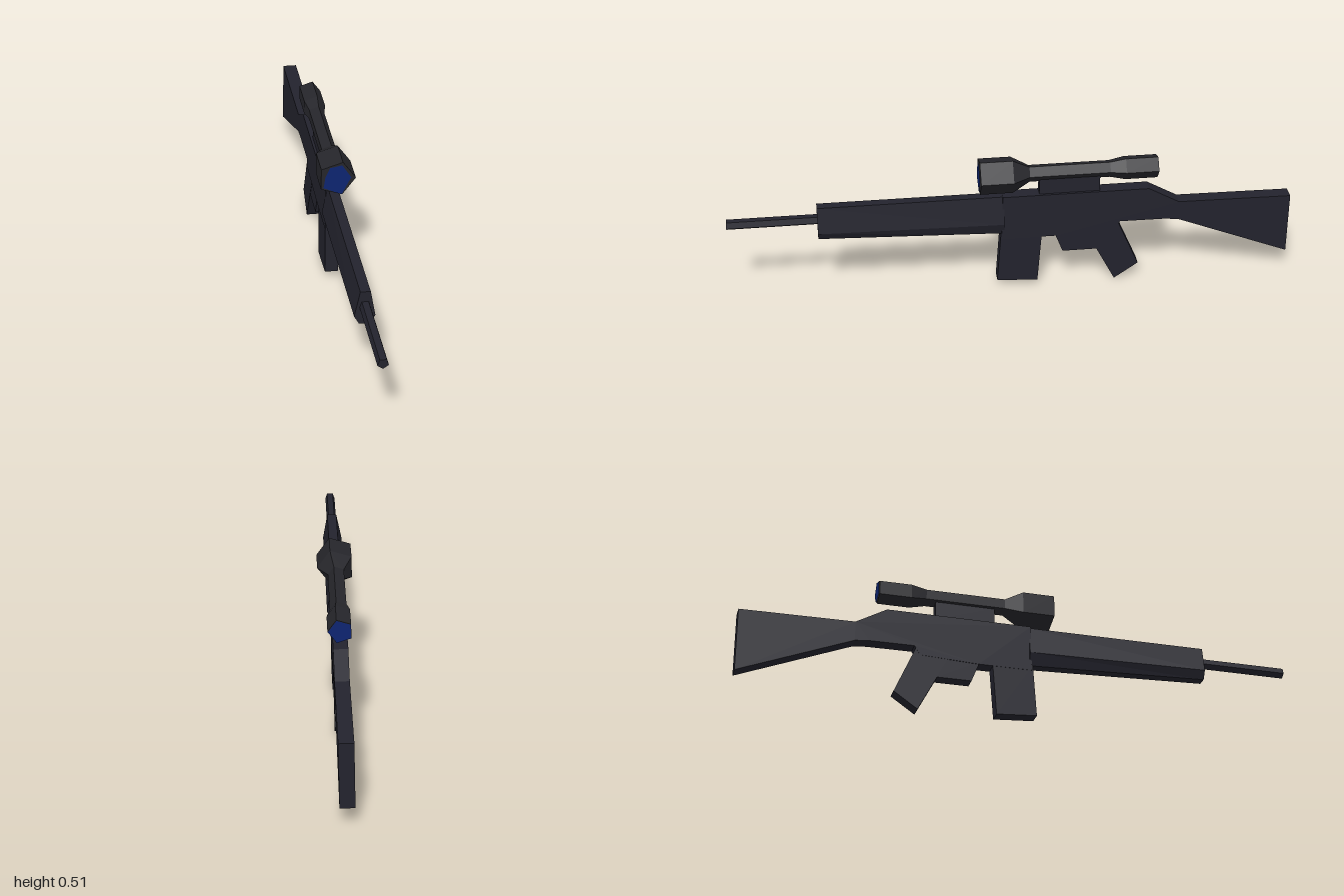
import * as THREE from 'three';

export function createModel() {
  const model = new THREE.Group();
  model.name = 'scopedRifle';

  const material = (name, color) => {
    const m = new THREE.MeshStandardMaterial({ color, flatShading: true });
    m.name = name;
    return m;
  };
  const gunmetal = material('gunmetal', 0x23232d);
  const scopeGrey = material('scopeGrey', 0x26262b);
  const lensBlue = material('lensBlue', 0x0d2470);

  const add = (name, geometry, mat, x = 0, y = 0, z = 0) => {
    const mesh = new THREE.Mesh(geometry, mat);
    mesh.name = name;
    mesh.position.set(x, y, z);
    model.add(mesh);
    return mesh;
  };

  // Flat side profile given as [z, y], extruded across x
  const plate = (points, width) => {
    const shape = new THREE.Shape(points.map(([z, y]) => new THREE.Vector2(z, y)));
    return new THREE.ExtrudeGeometry(shape, { depth: width, bevelEnabled: false })
      .translate(0, 0, -width / 2)
      .rotateY(-Math.PI / 2);
  };

  // Closed solid between two counter-clockwise outlines, back to front
  const loft = (back, front, zBack, zFront) => {
    const n = back.length;
    const pos = [];
    const b = (i) => [...back[i % n], zBack];
    const f = (i) => [...front[i % n], zFront];
    for (let i = 0; i < n; i++) {
      pos.push(...b(i), ...b(i + 1), ...f(i + 1), ...b(i), ...f(i + 1), ...f(i));
      if (i > 0 && i < n - 1) {
        pos.push(...f(0), ...f(i), ...f(i + 1), ...b(0), ...b(i + 1), ...b(i));
      }
    }
    const g = new THREE.BufferGeometry();
    g.setAttribute('position', new THREE.Float32BufferAttribute(pos, 3));
    g.computeVertexNormals();
    return g;
  };

  // Receiver and stock
  add('receiverAndStock', plate([
    [0.035, 0.376], [-0.485, 0.376], [-0.595, 0.314], [-1, 0.31], [-1, 0.08],
    [-0.595, 0.242], [-0.545, 0.247], [-0.385, 0.248], [-0.365, 0.215],
    [-0.155, 0.205], [0.04, 0.205],
  ], 0.05), gunmetal);

  // Parts below the receiver
  add('magazine', plate([[0.042, 0.225], [-0.105, 0.225], [-0.09, 0.022], [0.055, 0.032]], 0.048), gunmetal);
  add('triggerGuard', plate([[-0.15, 0.215], [-0.35, 0.215], [-0.305, 0.138], [-0.18, 0.138]], 0.046), gunmetal);
  add('pistolGrip', plate([[-0.25, 0.24], [-0.38, 0.24], [-0.455, 0.067], [-0.37, 0.008]], 0.048), gunmetal);

  // Six-sided handguard, shallower towards the muzzle
  const section = (bottom, middle) => [
    [0.017, 0.374], [-0.017, 0.374], [-0.035, middle],
    [-0.018, bottom], [0.018, bottom], [0.035, middle],
  ];
  add('handguard', loft(section(0.225, 0.27), section(0.25, 0.28), 0.03, 0.685), gunmetal);

  // Barrel
  const barrel = new THREE.CylinderGeometry(0.019, 0.019, 0.34, 5).rotateX(Math.PI / 2);
  add('barrel', barrel, gunmetal, 0, 0.32, 0.83);

  // Scope mount
  add('scopeMount', new THREE.BoxGeometry(0.032, 0.07, 0.215), gunmetal, 0, 0.4, -0.2025);

  // Five-sided scope turned around its long axis
  const scopeY = 0.455;
  const scopeProfile = [
    [0, -0.515], [0.043, -0.515], [0.043, -0.4], [0.031, -0.345],
    [0.031, -0.06], [0.067, 0], [0.067, 0.115], [0, 0.115],
  ].map(([r, z]) => new THREE.Vector2(r, z));
  const scope = new THREE.LatheGeometry(scopeProfile, 5, Math.PI / 2).rotateX(Math.PI / 2);
  add('scope', scope, scopeGrey, 0, scopeY, 0);

  // Lenses
  const frontLens = new THREE.Shape([
    [-0.024, 0.046], [0.018, 0.054], [0.05, 0.004],
    [0.018, -0.062], [-0.046, -0.033], [-0.04, 0.01],
  ].map(([x, y]) => new THREE.Vector2(x, y)));
  add('frontLens', new THREE.ShapeGeometry(frontLens), lensBlue, 0, scopeY, 0.118);
  const rearLens = new THREE.CircleGeometry(0.042, 5, Math.PI).rotateY(Math.PI);
  add('rearLens', rearLens, lensBlue, 0, scopeY, -0.518);

  // The whole rifle sits slightly turned and leaning
  model.rotation.set(0, 0.026, -0.02);
  model.position.set(-0.015, 0, 0);
  return model;
}
